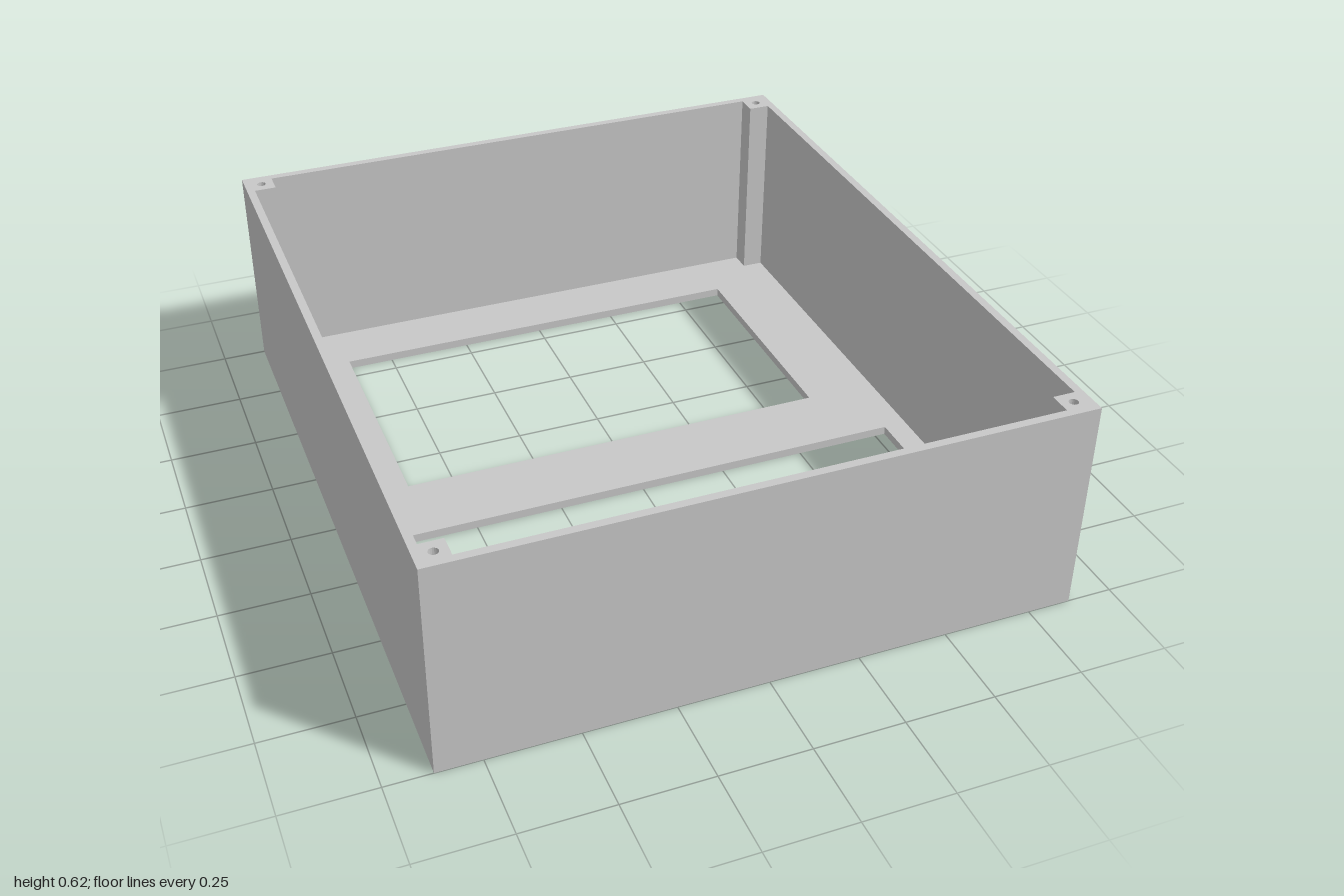
import * as THREE from 'three';

const HEIGHT = 0.618, FLOOR = 0.025, SCREW_DEPTH = 0.12;
const OX = 0.873, OZ = 1;        // outer half sizes
const IX = 0.85, IZ = 0.977;     // inner half sizes
const PX = 0.787, PZ = 0.914;    // inner corner of the posts

// Closed outline from [x, z] points; shape y is -z so it lies flat after rotation
const outline = (points, Type = THREE.Path) =>
  new Type(points.map(([x, z]) => new THREE.Vector2(x, -z)));

// Counter-clockwise seen from above when z0 is the front edge
const rect = (x0, z0, x1, z1) => [[x0, z0], [x1, z0], [x1, z1], [x0, z1]];

// Extrude a plan with holes upward between two heights
function slab(name, holes, bottom, top, material) {
  const shape = outline(rect(-OX, OZ, OX, -OZ), THREE.Shape);
  shape.holes.push(...holes);
  const geometry = new THREE.ExtrudeGeometry(shape, {
    depth: top - bottom, bevelEnabled: false, curveSegments: 8,
  });
  geometry.rotateX(-Math.PI / 2).translate(0, bottom, 0);
  const mesh = new THREE.Mesh(geometry, material);
  mesh.name = name;
  return mesh;
}

export function createModel() {
  const grey = new THREE.MeshStandardMaterial({ color: 0xc8c8c8 });
  grey.name = 'grey';
  const group = new THREE.Group();
  group.name = 'openEnclosure';

  // Floor panel with a smaller back window and a larger front window
  group.add(slab('floorPanel', [
    outline(rect(-0.638, -0.09, 0.638, -0.801)),
    outline(rect(-0.781, 0.912, 0.781, 0.135)),
  ], 0, FLOOR, grey));

  // Thin walls with a square post left in each corner
  const cavity = () => outline([
    [-PX, -IZ], [-PX, -PZ], [-IX, -PZ], [-IX, PZ],
    [-PX, PZ], [-PX, IZ], [PX, IZ], [PX, PZ],
    [IX, PZ], [IX, -PZ], [PX, -PZ], [PX, -IZ],
  ]);
  group.add(slab('wallsAndPosts', [cavity()], FLOOR, HEIGHT - SCREW_DEPTH, grey));

  // Upper part of the walls, with a blind screw hole in each post
  const screwHoles = [];
  for (const sx of [-1, 1]) {
    for (const sz of [-1, 1]) {
      screwHoles.push(new THREE.Path().absarc(sx * 0.823, sz * 0.951, 0.013, 0, Math.PI * 2));
    }
  }
  group.add(slab('upperWallsAndPosts', [cavity(), ...screwHoles], HEIGHT - SCREW_DEPTH, HEIGHT, grey));

  return group;
}
